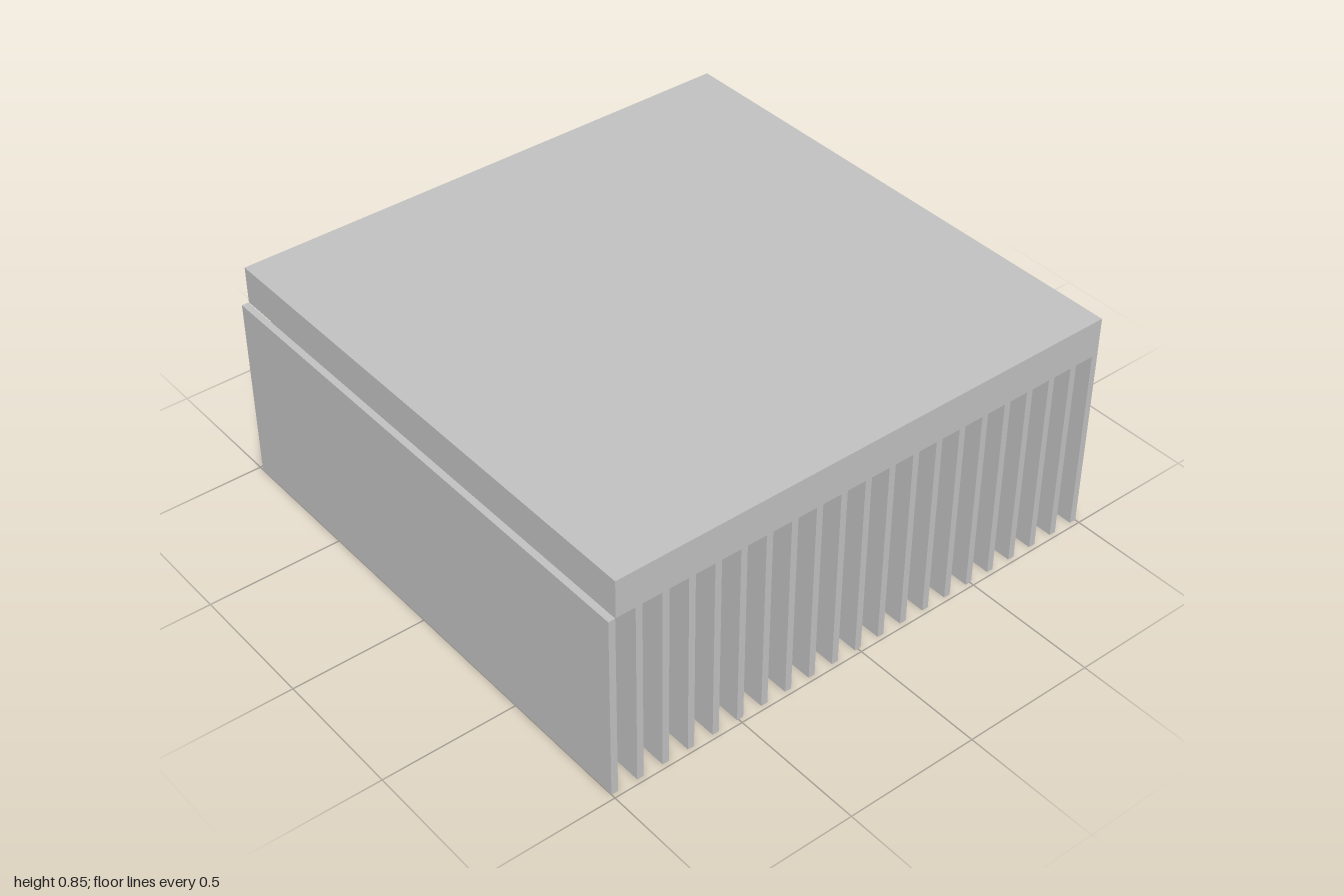
import * as THREE from 'three';

export function createModel() {
  const model = new THREE.Group();
  model.name = 'heatSink';
  const aluminium = new THREE.MeshStandardMaterial({ color: 0xc0c0c0 });
  aluminium.name = 'aluminium grey';

  const width = 1.966, finHeight = 0.705, top = 0.845;
  const finCount = 21, finDepth = 0.025;
  const backZ = -1, frontZ = 0.973;

  // Solid base plate, flush with the rear fin and stopping behind the front one
  const plate = new THREE.Mesh(
    new THREE.BoxGeometry(width, top - finHeight, frontZ - backZ), aluminium);
  plate.name = 'basePlate';
  plate.position.set(0, (top + finHeight) / 2, (frontZ + backZ) / 2);
  model.add(plate);

  // Evenly spaced cooling fins hanging below the plate
  const fins = new THREE.Group();
  fins.name = 'coolingFins';
  const finGeometry = new THREE.BoxGeometry(width, finHeight, finDepth);
  const pitch = (2 - finDepth) / (finCount - 1);
  for (let i = 0; i < finCount; i++) {
    const fin = new THREE.Mesh(finGeometry, aluminium);
    fin.name = `fin${i + 1}`;
    fin.position.set(0, finHeight / 2, backZ + finDepth / 2 + i * pitch);
    fins.add(fin);
  }
  model.add(fins);
  return model;
}
